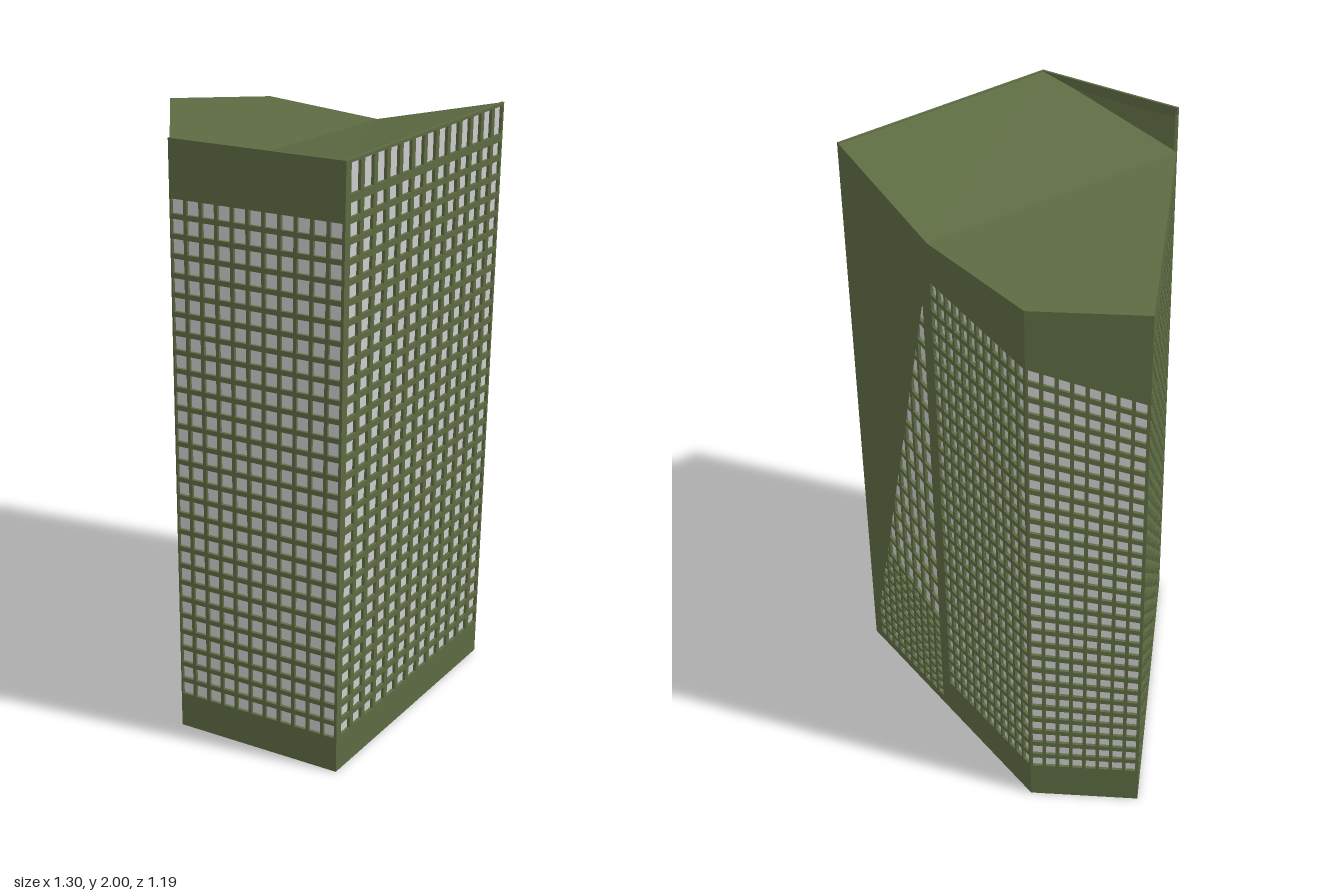
import * as THREE from 'three';

const green = new THREE.MeshStandardMaterial({ color: 0x5d6b42, flatShading: true });
const grey = new THREE.MeshStandardMaterial({ color: 0xcccccc, flatShading: true });
const HIGH = 2, LOW = 1.86, DEPTH = 0.01;

// Footprint corners [x, z]
const A = [-0.65, -0.39], B = [-0.355, -0.597], C = [0.65, -0.33];
const D = [0.56, 0.573], E = [-0.01, 0.593];
// Points where the roof line drops to the low level
const F = [0.14, -0.465], G = [-0.035, 0.555];

const dist = (p, q) => Math.hypot(q[0] - p[0], q[1] - p[1]);
const polygon = (pts) => pts.map((p) => new THREE.Vector2(p[0], p[1]));

// Four-cornered window grid: u0..u1 across the wall (0-1), top and bottom heights at each end
function grid(u0, u1, top, bottom, cols, rows, fillX, fillY) {
  const [t0, t1] = [].concat(top, top), [b0, b1] = [].concat(bottom, bottom);
  const at = (s, t, length) => {
    const low = b0 + (b1 - b0) * s, high = t0 + (t1 - t0) * s;
    return [(u0 + (u1 - u0) * s) * length, low + (high - low) * t];
  };
  const cell = (s0, s1, r0, r1, length) =>
    [at(s0, r0, length), at(s0, r1, length), at(s1, r1, length), at(s1, r0, length)];
  return { cell, cols, rows, fillX, fillY };
}

// Wall from p to q with recessed windows; profile lists its top edge from q back to p
function wall(name, p, q, profile, grids) {
  const group = new THREE.Group();
  group.name = name;
  const length = dist(p, q);
  const shape = new THREE.Shape(polygon([[0, 0], [length, 0], ...profile.map(([u, y]) => [u * length, y])]));
  for (const g of grids) {
    const dx = 1 / (g.cols - 1 + g.fillX), dy = 1 / (g.rows - 1 + g.fillY);
    for (let i = 0; i < g.cols; i++) {
      for (let j = 0; j < g.rows; j++) {
        const hole = g.cell(i * dx, (i + g.fillX) * dx, j * dy, (j + g.fillY) * dy, length);
        shape.holes.push(new THREE.Path(polygon(hole)));
      }
    }
    // Glazing behind the openings
    const pane = new THREE.Mesh(
      new THREE.ShapeGeometry(new THREE.Shape(polygon(g.cell(0, 1, 0, 1, length)))), grey);
    pane.position.z = -DEPTH;
    pane.name = 'windowPanes';
    group.add(pane);
  }
  const frame = new THREE.Mesh(
    new THREE.ExtrudeGeometry(shape, { depth: DEPTH, bevelEnabled: false }), green);
  frame.position.z = -DEPTH;
  frame.name = 'wallFrame';
  group.add(frame);
  group.position.set(p[0], 0, p[1]);
  group.rotation.y = -Math.atan2(q[1] - p[1], q[0] - p[0]);
  return group;
}

// Flat-shaded mesh from triangles of [x, z, y] corners
function facets(name, triangles) {
  const pos = triangles.flat().flatMap(([x, z, y]) => [x, y, z]);
  const geo = new THREE.BufferGeometry();
  geo.setAttribute('position', new THREE.Float32BufferAttribute(pos, 3));
  geo.computeVertexNormals();
  const mesh = new THREE.Mesh(geo, green);
  mesh.name = name;
  return mesh;
}

export function createModel() {
  const model = new THREE.Group();
  model.name = 'towerBlock';

  model.add(wall('frontWall', E, D, [[1, HIGH], [0, HIGH]], [
    grid(0.01, 0.988, 1.82, 0.125, 11, 28, 0.78, 0.74),
  ]));

  // Left wall has a taller row under the roof edge
  model.add(wall('leftWall', D, C, [[1, HIGH], [0, HIGH]], [
    grid(0.03, 0.99, 1.875, 0.125, 13, 29, 0.72, 0.7),
    grid(0.03, 0.99, 1.99, 1.9, 13, 1, 0.72, 1),
  ]));

  // Back wall: slanted grid beneath the sloping roof line, fine grid below, regular grid beside
  const kink = dist(C, F) / dist(C, B);
  model.add(wall('backWall', C, B, [[1, LOW], [kink, LOW], [0, HIGH]], [
    grid(0.045, 0.465, [1.87, 1.785], [0.5, 0.385], 8, 18, 0.76, 0.8),
    grid(0.045, 0.465, [0.483, 0.368], 0.03, 10, 10, 0.7, 0.65),
    grid(0.515, 0.99, [1.73, 1.67], 0.128, 12, 29, 0.74, 0.7),
  ]));

  model.add(wall('backRightWall', B, A, [[1, LOW], [0, LOW]], [
    grid(0.02, 0.97, [1.67, 1.57], 0.128, 8, 29, 0.74, 0.68),
  ]));

  const step = dist(A, G) / dist(A, E);
  model.add(wall('rightWall', A, E, [[1, HIGH], [step, LOW], [0, LOW]], [
    grid(0.015, 0.975, 1.735, 0.125, 16, 29, 0.72, 0.68),
  ]));

  // Roof: slope falling from the left wall to a flat lower part
  const up = (p) => [...p, HIGH], low = (p) => [...p, LOW];
  model.add(facets('slopingRoof', [
    [up(D), up(C), low(F)], [up(D), low(F), low(G)], [up(D), low(G), up(E)],
  ]));
  model.add(facets('flatRoof', [[low(G), low(F), low(B)], [low(G), low(B), low(A)]]));

  const floor = (p) => [...p, 0];
  model.add(facets('underside', [
    [floor(E), floor(C), floor(D)], [floor(E), floor(B), floor(C)], [floor(E), floor(A), floor(B)],
  ]));
  return model;
}
